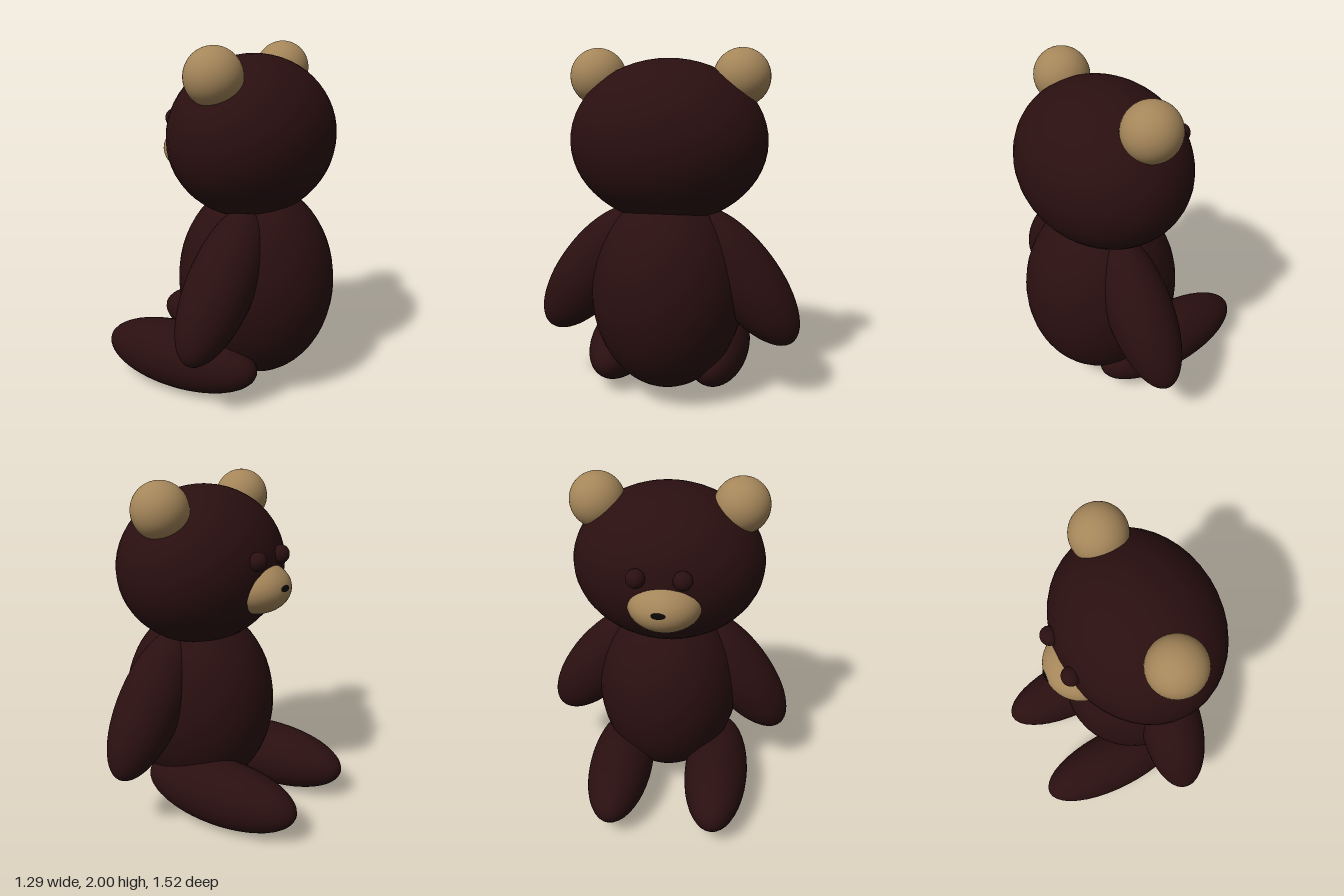
import * as THREE from 'three';

export function createModel() {
  const bear = new THREE.Group();
  bear.name = 'teddyBear';

  const paint = (name, color) => {
    const m = new THREE.MeshStandardMaterial({ color });
    m.name = name;
    return m;
  };
  const fur = paint('dark brown fur', 0x2a0f10);
  const tan = paint('tan plush', 0xa5865a);
  const black = paint('black nose', 0x0a0505);

  const ball = new THREE.SphereGeometry(1, 40, 28);

  // Ellipsoid from centre and radii; its y axis can lean along a direction
  function blob(name, material, centre, radii, axis) {
    const mesh = new THREE.Mesh(ball, material);
    mesh.name = name;
    mesh.position.set(...centre);
    mesh.scale.set(...radii);
    if (axis) {
      mesh.quaternion.setFromUnitVectors(
        new THREE.Vector3(0, 1, 0), new THREE.Vector3(...axis).normalize());
    }
    bear.add(mesh);
    return mesh;
  }

  // Torso and head; the bear sits facing -x
  blob('body', fur, [0.182, 0.64, 0], [0.463, 0.58, 0.44]);
  blob('head', fur, [0.153, 1.49, 0], [0.457, 0.455, 0.555]);

  // Face
  blob('muzzle', tan, [-0.2, 1.395, 0.02], [0.2, 0.15, 0.21]);
  blob('nose', black, [-0.386, 1.412, 0.01], [0.018, 0.022, 0.045]);

  // Paired parts: the bear's left is +z
  for (const [side, s] of [['left', 1], ['right', -1]]) {
    blob(side + 'Ear', tan, [0.138, 1.843, s * 0.402], [0.157, 0.157, 0.157]);
    blob(side + 'Eye', fur, [-0.295, 1.575, s * 0.125], [0.05, 0.053, 0.053]);

    // Arms lean outwards, each with its own slight swing
    const left = s > 0;
    blob(side + 'Arm', fur, [left ? 0.2 : 0.218, 0.747, s * 0.432], [0.187, 0.47, 0.2],
      [left ? 0.08 : -0.03, 0.788, -s * 0.616]);

    // Legs lie flat on the ground, pointing forward
    blob(side + 'Leg', fur, [-0.14, 0.2, left ? 0.337 : -0.265], [0.505, 0.197, 0.195]);
  }

  return bear;
}
